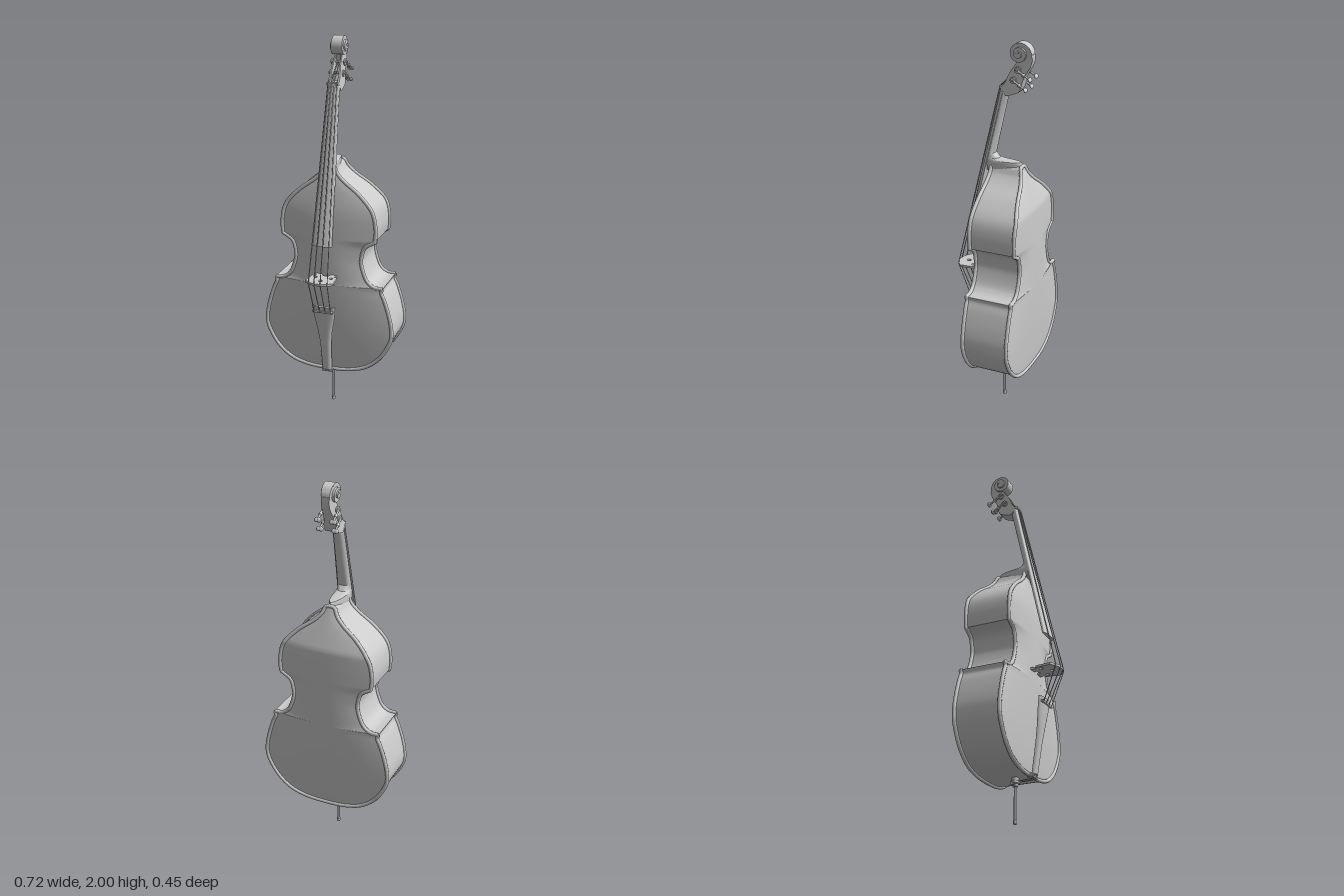
import * as THREE from 'three';
import { toCreasedNormals } from 'three/addons/utils/BufferGeometryUtils.js';

const V2 = (x, y) => new THREE.Vector2(x, y);
const V3 = (x, y, z) => new THREE.Vector3(x, y, z);
const { lerp, clamp, smoothstep } = THREE.MathUtils;
const mat = new THREE.MeshStandardMaterial({ color: 0xcccccc, side: THREE.DoubleSide });

export function createModel() {
  const model = new THREE.Group();
  const add = (name, geo, parent = model) => {
    const m = new THREE.Mesh(geo, mat);
    m.name = name;
    parent.add(m);
    return m;
  };
  const group = (name) => {
    const g = new THREE.Group();
    g.name = name;
    model.add(g);
    return g;
  };

  // Skin a list of equal-length rings of points
  function loft(rings, { closed = true, caps = true, crease = 0.6 } = {}) {
    const n = rings[0].length, pos = [], idx = [];
    rings.forEach(r => r.forEach(p => pos.push(p.x, p.y, p.z)));
    for (let i = 0; i < rings.length - 1; i++)
      for (let j = 0; j < (closed ? n : n - 1); j++) {
        const a = i * n + j, b = i * n + (j + 1) % n;
        idx.push(a, b, a + n, b, b + n, a + n);
      }
    if (caps) for (let j = 1; j < n - 1; j++) {
      const e = (rings.length - 1) * n;
      idx.push(0, j + 1, j, e, e + j, e + j + 1);
    }
    const g = new THREE.BufferGeometry();
    g.setAttribute('position', new THREE.Float32BufferAttribute(pos, 3));
    g.setIndex(idx);
    if (crease) return toCreasedNormals(g, crease);
    g.computeVertexNormals();
    return g;
  }
  // Cylinder between two points
  function rod(a, b, r0, r1 = r0, seg = 10) {
    const d = b.clone().sub(a), g = new THREE.CylinderGeometry(r1, r0, d.length(), seg);
    g.applyQuaternion(new THREE.Quaternion().setFromUnitVectors(V3(0, 1, 0), d.normalize()));
    const c = a.clone().add(b).multiplyScalar(0.5);
    return g.translate(c.x, c.y, c.z);
  }

  // Body outline: lower bout, waist and upper bout meet at sharp corners
  const bouts = [
    [[0, .232], [.11, .238], [.21, .268], [.29, .335], [.343, .43], [.35, .5], [.335, .58], [.31, .66], [.291, .705], [.298, .728]],
    [[.298, .728], [.25, .732], [.21, .765], [.183, .84], [.182, .89], [.2, .945], [.252, .978]],
    [[.252, .978], [.256, 1.05], [.235, 1.14], [.165, 1.22], [.085, 1.28], [.045, 1.32], [.025, 1.358], [0, 1.365]],
  ];
  const half = [];
  bouts.forEach((b, i) => {
    const pts = new THREE.SplineCurve(b.map(p => V2(...p))).getPoints(36);
    half.push(...(i ? pts.slice(1) : pts));
  });
  const outline = [...half, ...half.slice(1, -1).reverse().map(p => V2(-p.x, p.y))];
  const frontZ = y => lerp(.045, .025, smoothstep(y, 1.08, 1.38));
  const backZ = y => lerp(-.2, -.135, clamp((y - 1.15) / .21, 0, 1));

  const body = group('body');
  add('ribs', loft([frontZ, backZ].map(f => outline.map(p => V3(p.x, p.y, f(p.y)))),
    { caps: false }), body);
  for (const [name, f, h] of [['front', frontZ, .03], ['back', backZ, -.025]]) {
    // Arched plate, spanned from edge to edge
    const rows = half.map(p => Array.from({ length: 21 }, (_, j) => {
      const u = j / 10 - 1;
      const v = Math.sin(Math.PI * clamp((p.y - .232) / 1.133, 0, 1));
      return V3(p.x * u, p.y, f(p.y) + h * (1 - u * u) * Math.pow(Math.max(v, 0), .7));
    }));
    add(name + 'Plate', loft(rows, { closed: false, caps: false, crease: 0 }), body);
    const path = new THREE.CatmullRomCurve3(outline.map(p => V3(p.x, p.y, f(p.y))), true);
    add(name + 'Rim', new THREE.TubeGeometry(path, 420, .0105, 8, true), body);
  }

  // Neck with heel: half-round sections [y, half width, front z, back z]
  const boardZ = y => .16 - .225 * (y - .965);
  const boardW = y => lerp(.055, .032, (y - .965) / .8);
  const neckRing = ([y, w, zf, zb]) => Array.from({ length: 13 }, (_, i) => {
    const a = Math.PI * i / 12;
    return V3(w * Math.cos(a), y, zf - (zf - zb) * Math.sin(a));
  });
  const neckSections = [[1.33, .035, .045, -.12], [1.372, .038, .047, -.138], [1.384, .038, .047, -.13],
    [1.388, .038, .046, -.06], [1.395, .038, .045, -.01], [1.42, .038, .04, .012],
    [1.58, .034, boardZ(1.58) - .017, -.024], [1.73, .03, boardZ(1.73) - .017, -.058],
    [1.77, .03, boardZ(1.77) - .017, -.075]];
  add('neck', loft(neckSections.map(neckRing)));

  // Fingerboard with a curved playing face
  add('fingerboard', loft([.965, 1.765].map(y => {
    const w = boardW(y), z = boardZ(y);
    const arc = Array.from({ length: 11 }, (_, i) => {
      const a = Math.PI * i / 10;
      return V3(w * Math.cos(a), y, z - .012 + .012 * Math.sin(a));
    });
    return [...arc, V3(-w, y, z - .022), V3(w, y, z - .022)];
  })));
  add('nut', new THREE.BoxGeometry(.06, .012, .026)).position.set(0, 1.771, -.03);

  // Pegbox: side silhouettes [z, y] extruded across x and tapered upward
  const head = group('head');
  const headW = y => lerp(.034, .021, clamp((y - 1.74) / .15, 0, 1));
  function headPart(name, pts, x0, x1) {
    const g = new THREE.ExtrudeGeometry(new THREE.Shape(pts.map(p => V2(...p))),
      { depth: x1 - x0, bevelEnabled: false });
    g.rotateY(-Math.PI / 2).translate(x1, 0, 0);
    const p = g.attributes.position;
    for (let i = 0; i < p.count; i++) p.setX(i, p.getX(i) * headW(p.getY(i)));
    add(name, toCreasedNormals(g, .6), head);
  }
  const headBack = [[-.13, 1.95], [-.188, 1.945], [-.189, 1.915], [-.18, 1.885], [-.165, 1.86], [-.15, 1.835],
    [-.138, 1.8], [-.13, 1.765], [-.118, 1.752], [-.07, 1.733], [-.052, 1.735]];
  const cheek = [[-.028, 1.772], [-.05, 1.8], [-.062, 1.83], [-.08, 1.865], [-.1, 1.89], [-.11, 1.91], ...headBack];
  headPart('pegboxBack', [[-.05, 1.762], [-.095, 1.775], [-.11, 1.82], [-.128, 1.86], [-.11, 1.91], ...headBack], -.75, .75);
  for (const s of [-1, 1]) headPart('pegboxCheek', cheek, s < 0 ? -1 : .7, s < 0 ? -.7 : 1);

  // Scroll: spiral that widens as it winds inward
  const scrollRings = [];
  for (let i = 0; i <= 80; i++) {
    const t = i / 80, a = Math.PI * (1.1 - 4.4 * t);
    const r = t < .12 ? lerp(.066, .053, t / .12) : lerp(.053, .014, (t - .12) / .88);
    const w = lerp(.021, .045, Math.pow(t, .7));
    scrollRings.push([[r, w], [r, -w], [0, -w], [0, w]].map(([q, x]) =>
      V3(x, 1.948 + q * Math.sin(a), -.122 + q * Math.cos(a))));
  }
  add('scroll', loft(scrollRings), head);

  // Tuning machines, two on each side
  for (const s of [-1, 1]) for (const [y, z] of [[1.815, -.095], [1.868, -.118]]) {
    const x = s * .04, k = V3(x, y - .04, z - .068);
    add('tuningAxle', rod(V3(0, y, z), V3(s * .046, y, z), .006), head);
    add('tuningGear', rod(V3(s * .03, y, z), V3(s * .038, y, z), .017, .017, 16), head);
    add('tuningShaft', rod(V3(x, y + .005, z + .008), k, .005), head);
    add('tuningCollar', rod(V3(x, y - .018, z - .03), V3(x, y - .024, z - .04), .009), head);
    for (const d of [-1, 1]) {
      const wing = add('tuningKey', new THREE.SphereGeometry(1, 12, 8), head);
      wing.scale.set(.012, .012, .006);
      wing.position.set(k.x + d * .007, k.y, k.z);
      wing.rotation.x = .5;
    }
  }

  // Bridge: upright plate with feet, arched top and cut-outs
  const right = [[.025, .068], [.058, .068], [.054, .09], [.05, .1], [.068, .104], [.07, .125], [.076, .188], [.052, .207], [.018, .22]];
  const bridge = new THREE.Shape([...right.map(p => V2(...p)),
    ...right.slice().reverse().map(([x, z]) => V2(-x, z)), V2(-.018, .09), V2(0, .098), V2(.018, .09)]);
  for (const [x, z, r] of [[0, .17, .011], [.043, .125, .01], [-.043, .125, .01]])
    bridge.holes.push(new THREE.Path().absarc(x, z, r, 0, Math.PI * 2, true));
  add('bridge', new THREE.ExtrudeGeometry(bridge, { depth: .012, bevelEnabled: false })
    .rotateX(Math.PI / 2).translate(0, .784, 0));

  // Tailpiece [y, half width, z], its raised saddle and the tail loop
  const tail = [[.235, .026, .07], [.3, .028, .08], [.4, .031, .095], [.47, .04, .106], [.54, .053, .116], [.58, .06, .122], [.622, .065, .128]];
  add('tailpiece', loft(tail.map(([y, w, z]) => Array.from({ length: 11 }, (_, i) => {
    const a = Math.PI * i / 10;
    return V3(w * Math.cos(a), y, z - .009 + .018 * Math.sin(a));
  }))));
  add('tailSaddle', new THREE.BoxGeometry(.112, .01, .014)).position.set(0, .595, .134);
  add('bottomSaddle', new THREE.BoxGeometry(.06, .018, .03)).position.set(0, .229, .052);
  for (const s of [-1, 1]) {
    const path = new THREE.CatmullRomCurve3([V3(s * .012, .25, .073), V3(s * .012, .221, .064),
      V3(s * .012, .214, .03), V3(s * .006, .212, -.03)]);
    add('tailLoop', new THREE.TubeGeometry(path, 20, .003, 6));
  }

  // Four strings from the tailpiece over bridge and nut into the pegbox
  const strings = group('strings');
  [-1.5, -.5, .5, 1.5].forEach((k, i) => {
    const pts = [V3(k * .03, .59, .138), V3(k * .034, .779, Math.abs(k) > 1 ? .209 : .221),
      V3(k * .0147, 1.779, -.02), V3(k * .01, i % 3 ? 1.868 : 1.815, i % 3 ? -.112 : -.09)];
    for (let j = 0; j < 3; j++) add('string', rod(pts[j], pts[j + 1], .003 - i * .0003, .003 - i * .0003, 6), strings);
  });

  // Endpin with collar, thumb screw and tip
  const pin = [[0, 0], [.009, 0], [.01, .004], [.01, .018], [.007, .022], [.007, .185], [.014, .188], [.016, .2],
    [.024, .203], [.024, .214], [.018, .218], [.018, .24], [0, .24]];
  add('endpin', toCreasedNormals(new THREE.LatheGeometry(pin.map(p => V2(...p)), 20), .6)).position.z = -.04;
  add('thumbScrew', rod(V3(-.01, .195, -.04), V3(-.036, .195, -.04), .004));
  add('thumbScrewHead', rod(V3(-.034, .195, -.04), V3(-.042, .195, -.04), .009));
  return model;
}
